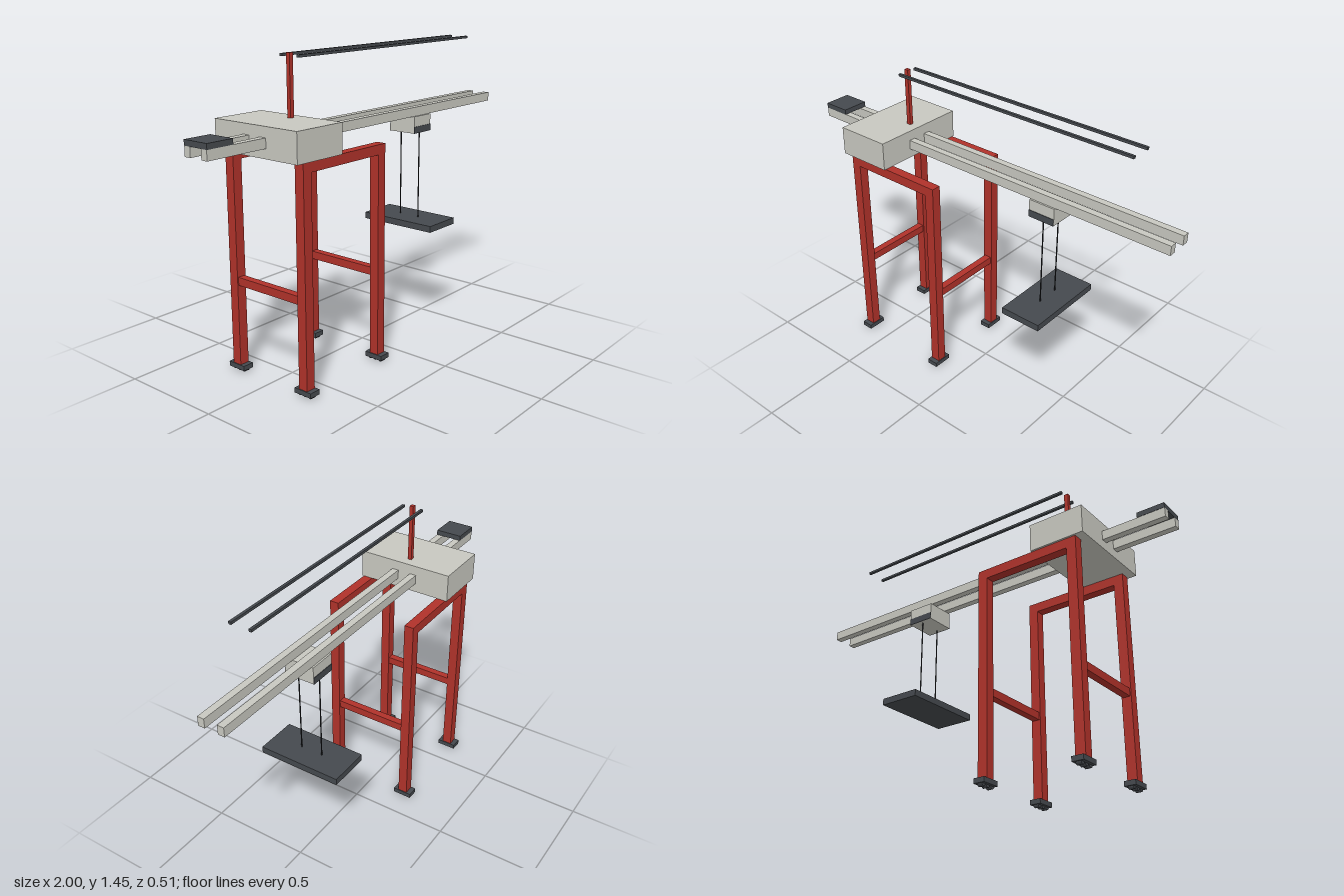
import * as THREE from 'three';

const mat = (name, color) => Object.assign(new THREE.MeshStandardMaterial({ color }), { name });

export function createModel() {
  const red = mat('frame red', 0xb0322a);
  const grey = mat('machine grey', 0xc8c8c0);
  const dark = mat('dark steel', 0x45494e);
  const black = mat('cable black', 0x222427);
  const crane = new THREE.Group();
  crane.name = 'gantryCrane';

  // Box given by its extents along each axis
  const box = (name, m, [x0, x1], [y0, y1], [z0, z1]) => {
    const mesh = new THREE.Mesh(new THREE.BoxGeometry(x1 - x0, y1 - y0, z1 - z0), m);
    mesh.position.set((x0 + x1) / 2, (y0 + y1) / 2, (z0 + z1) / 2);
    mesh.name = name;
    crane.add(mesh);
    return mesh;
  };
  const around = (c, size) => [c - size / 2, c + size / 2];

  // Portal frame: legs on wheeled bogies, side beams and cross braces
  const legX = [-0.623, -0.142], legZ = 0.207;
  for (const x of legX) {
    for (const s of [-1, 1]) {
      const z = s * legZ;
      box('leg', red, around(x, 0.048), [0.035, 0.993], around(z, 0.047));
      box('bogie', dark, around(x, 0.056), [0.013, 0.036], around(z, 0.095));
      for (const dz of [-0.03, 0, 0.03]) {
        const wheel = new THREE.Mesh(new THREE.CylinderGeometry(0.011, 0.011, 0.026, 12), dark);
        wheel.rotation.z = Math.PI / 2;
        wheel.position.set(x, 0.011, z + dz);
        wheel.name = 'wheel';
        crane.add(wheel);
      }
    }
    box('crossBrace', red, around(x, 0.036), [0.42, 0.458], [-0.185, 0.185]);
  }
  for (const s of [-1, 1]) {
    box('sideBeam', red, [-0.647, -0.118], [0.992, 1.038], around(s * legZ, 0.047));
  }

  // Machinery house, boom rails and counterweight
  box('machineryHouse', grey, [-0.69, -0.417], [1.038, 1.174], [-0.24, 0.24]);
  for (const s of [-1, 1]) box('boomRail', grey, [-1, 1], [1.082, 1.127], around(s * 0.049, 0.033));
  box('counterweight', dark, [-1, -0.866], [1.127, 1.152], [-0.067, 0.067]);

  // Mast and the two stays
  box('mast', red, around(-0.476, 0.021), [1.174, 1.45], around(0, 0.019));
  for (const s of [-1, 1]) box('stay', dark, [-0.478, 0.79], around(1.437, 0.012), around(s * 0.049, 0.013));

  // Trolley with dark side plates
  const tx = 0.377;
  box('trolley', grey, around(tx, 0.134), [0.998, 1.082], [-0.074, 0.074]);
  for (const s of [-1, 1]) {
    box('trolleyPlate', dark, around(tx, 0.134), [0.998, 1.031], around(s * 0.075, 0.003));
  }

  // Hoist cables and spreader
  for (const s of [-1, 1]) {
    const cable = new THREE.Mesh(new THREE.CylinderGeometry(0.003, 0.003, 0.45, 8), black);
    cable.position.set(tx, 0.777, s * 0.056);
    cable.name = 'hoistCable';
    crane.add(cable);
  }
  box('spreader', dark, around(tx, 0.206), [0.524, 0.556], [-0.207, 0.207]);

  return crane;
}
